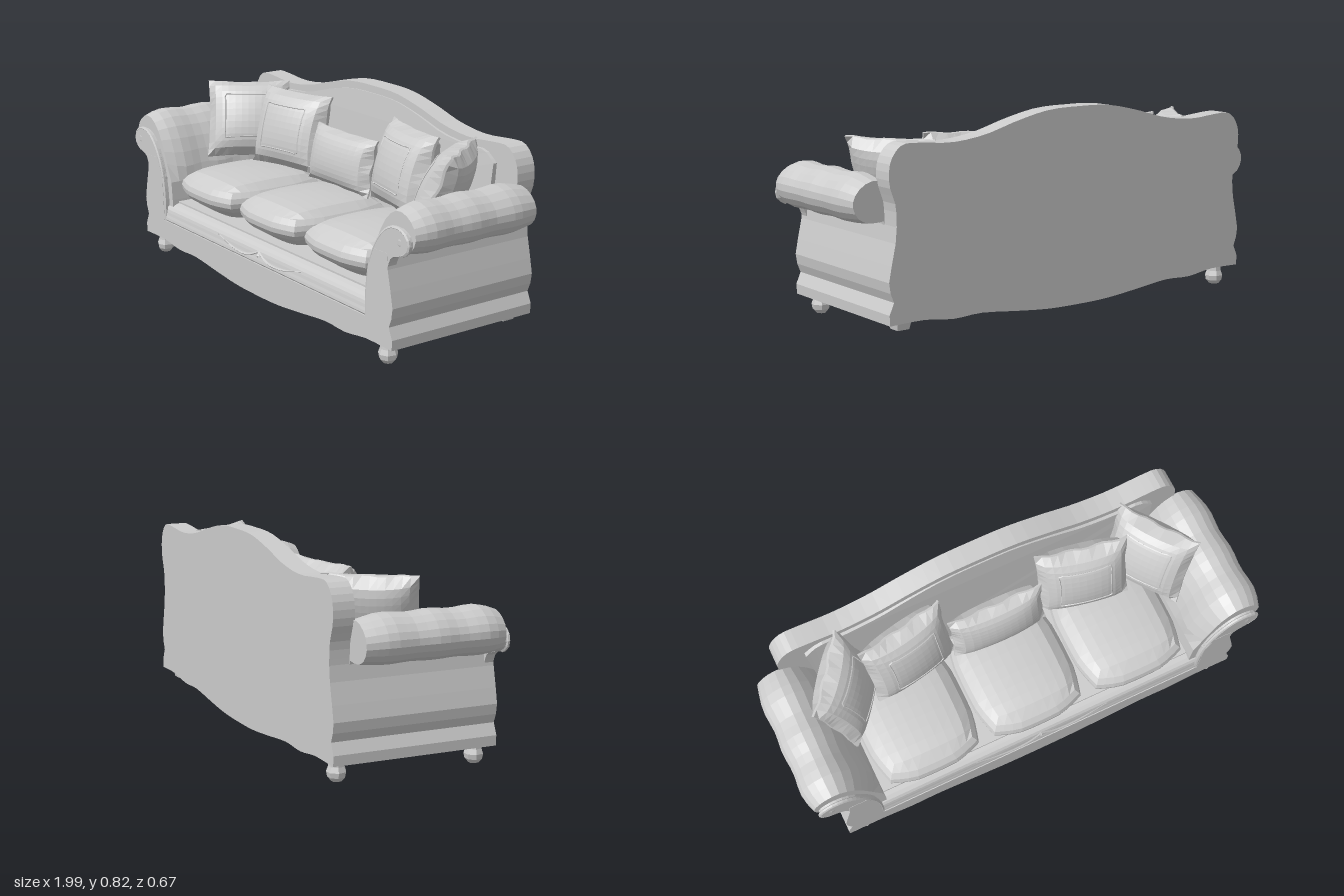
import * as THREE from 'three';

const mat = new THREE.MeshStandardMaterial({ color: 0xcccccc, flatShading: true, side: THREE.DoubleSide });

function add(parent, name, geometry, x = 0, y = 0, z = 0) {
  const mesh = new THREE.Mesh(geometry, mat);
  mesh.name = name;
  mesh.position.set(x, y, z);
  parent.add(mesh);
  return mesh;
}

const vecs = (pts) => pts.map(([x, y]) => new THREE.Vector2(x, y));
const smooth = (pts, n) => new THREE.SplineCurve(vecs(pts)).getPoints(n);
// mirrors a right-hand half line (edge to centre) into a full line
const mirrored = (half) => [...half, ...half.slice(0, -1).reverse().map(([x, y]) => [-x, y])];

function extrude(points, z0, z1, steps = 1) {
  const g = new THREE.ExtrudeGeometry(new THREE.Shape(points), { depth: z1 - z0, steps, bevelEnabled: false });
  return g.translate(0, 0, z0);
}

function moveVertices(g, rule) {
  const p = g.attributes.position, v = new THREE.Vector3();
  for (let i = 0; i < p.count; i++) {
    v.fromBufferAttribute(p, i);
    rule(v);
    p.setXYZ(i, v.x, v.y, v.z);
  }
  g.computeVertexNormals();
  return g;
}

// scatter pillow: a box in -1..1 is puffed in the middle, with a thin rippled rim and pointed corners
function pillowRule(w, h, d) {
  return (p) => {
    const { x: u, y: v } = p;
    const fall = (s) => Math.max(0, 1 - (s / 0.94) ** 2);
    const puff = 0.06 + 0.94 * Math.pow(fall(u) * fall(v), 0.34);
    const rim = Math.max(Math.abs(u), Math.abs(v)) > 0.95 ? 0.006 * Math.sin(9 * u + 7 * v) : 0;
    p.x = u * w / 2 * (1 - 0.05 * (1 - v * v));
    p.y = v * h / 2 * (1 - 0.05 * (1 - u * u));
    p.z = p.z * d / 2 * puff + rim;
  };
}

// seat cushion: crowned faces, rounded plan corners, fullest just above mid height
function seatRule(w, h, d) {
  return (p) => {
    const { x: u, y: v, z: t } = p;
    const belly = 1 - 0.14 * Math.pow(Math.abs(t - 0.15), 2.2);
    const corner = 1 - 0.16 * Math.max(0, Math.abs(u) + Math.abs(v) - 1.45);
    const bow = (s) => 1 + 0.06 * (1 - s * s);
    p.x = u * w / 2 * belly * corner * bow(v);
    p.y = v * h / 2 * belly * corner * bow(u);
    p.z = t * d / 2 * (0.55 + 0.45 * Math.pow((1 - u * u) * (1 - v * v), 0.4));
  };
}

export function createModel() {
  const sofa = new THREE.Group();
  sofa.name = 'sofa';

  // Frame: scalloped lower edge, gently waved sides, open seat well
  const hem = smooth(mirrored([[0.88, 0.08], [0.73, 0.082], [0.6, 0.066], [0.47, 0.07], [0.3, 0.052], [0.15, 0.038], [0, 0.035]]), 36);
  const side = [[0.88, 0.08], [0.882, 0.12], [0.862, 0.165], [0.876, 0.2], [0.882, 0.24], [0.87, 0.3], [0.852, 0.38], [0.846, 0.44]];
  const left = side.slice(1).map(([x, y]) => [-x, y]);
  const right = side.slice(1).reverse();
  add(sofa, 'frame', extrude([...hem, ...vecs([...left, [-0.77, 0.44], [-0.735, 0.36], [-0.725, 0.168],
    [0.725, 0.168], [0.735, 0.36], [0.77, 0.44], ...right])], -0.335, 0.335));

  // Camel-shaped back panel reaching down to the frame
  const crestLine = smooth(mirrored([[0.846, 0.44], [0.85, 0.52], [0.875, 0.6], [0.868, 0.68], [0.82, 0.735], [0.74, 0.738],
    [0.6, 0.728], [0.45, 0.745], [0.3, 0.785], [0.15, 0.815], [0, 0.82]]), 56);
  add(sofa, 'backPanel', extrude([...vecs([[-0.77, 0.44], [-0.735, 0.36], [-0.725, 0.168],
    [0.725, 0.168], [0.735, 0.36], [0.77, 0.44]]), ...crestLine], -0.335, -0.25));

  // Upholstered inner back, thicker towards the seat
  const innerTop = smooth(mirrored([[0.76, 0.66], [0.7, 0.7], [0.6, 0.7], [0.45, 0.715], [0.3, 0.755], [0.15, 0.785], [0, 0.79]]), 30);
  add(sofa, 'innerBack', moveVertices(extrude([...vecs([[-0.72, 0.2], [0.72, 0.2]]), ...innerTop], -0.26, -0.2),
    (v) => { if (v.z > -0.21) v.z = -0.21 - 0.035 * Math.max(0, (v.y - 0.4) / 0.39); }));

  // Seat deck and rounded front rail
  add(sofa, 'seatDeck', new THREE.BoxGeometry(1.44, 0.085, 0.52), 0, 0.21, 0.02);
  const rail = smooth([[-0.27, 0.166], [-0.328, 0.167], [-0.328, 0.195], [-0.315, 0.23], [-0.265, 0.25]], 12);
  add(sofa, 'frontRail', extrude(rail, -0.73, 0.73).rotateY(Math.PI / 2));

  // Draped swag folds in the middle of the rail
  for (const s of [-1, 1]) {
    const path = new THREE.CatmullRomCurve3([[0, 0.215, 0.318], [0.07, 0.188, 0.324], [0.16, 0.186, 0.324], [0.3, 0.215, 0.316]]
      .map(([x, y, z]) => new THREE.Vector3(s * x, y, z)));
    add(sofa, 'railSwag', new THREE.TubeGeometry(path, 12, 0.009, 5));
  }
  add(sofa, 'railKnot', new THREE.OctahedronGeometry(0.03).scale(1, 1, 0.6), 0, 0.2, 0.315);

  // Arms: padded roll plus scrolled front panel and moulding
  const rollLine = smooth([[0.69, 0.2], [0.7, 0.34], [0.735, 0.46], [0.79, 0.56], [0.86, 0.615], [0.93, 0.608], [0.98, 0.565],
    [0.992, 0.515], [0.965, 0.465], [0.91, 0.442], [0.845, 0.445]], 20);
  const panelLine = smooth([[0.722, 0.16], [0.724, 0.28], [0.745, 0.39], [0.79, 0.48], [0.85, 0.535], [0.91, 0.543], [0.955, 0.517],
    [0.957, 0.475], [0.92, 0.448], [0.87, 0.43], [0.85, 0.39]], 24);
  const armRoll = moveVertices(extrude([...rollLine, ...vecs([[0.8, 0.2]])], -0.255, 0.31, 14), (v) => {
    if (v.y < 0.38) return;
    const endRound = Math.max(0, (v.z - 0.23) / 0.08) ** 2 * 0.13 + Math.max(0, (-0.2 - v.z) / 0.055) * 0.12;
    const f = 1.015 + 0.03 * Math.cos((v.z - 0.22) * 35) - endRound;
    v.x = Math.min(1, 0.88 + (v.x - 0.88) * f);
    v.y = 0.5 + (v.y - 0.5) * f;
  });
  for (const s of [-1, 1]) {
    const arm = new THREE.Group();
    arm.name = s > 0 ? 'leftArm' : 'rightArm';
    arm.scale.x = s;
    sofa.add(arm);
    add(arm, 'armRoll', armRoll);
    add(arm, 'armFrontPanel', extrude([...panelLine, ...vecs([[0.86, 0.16]])], 0.295, 0.334));
    const trim = new THREE.CatmullRomCurve3(panelLine.slice(0, 20).map((p) => new THREE.Vector3(p.x, p.y, 0.327)));
    add(arm, 'armMoulding', new THREE.TubeGeometry(trim, 30, 0.008, 6));
    add(arm, 'scrollButton', new THREE.SphereGeometry(0.026, 8, 5).scale(1, 1, 0.35), 0.915, 0.497, 0.327);
  }

  // Three plump seat cushions
  for (const x of [-0.46, 0, 0.46]) {
    const g = moveVertices(new THREE.BoxGeometry(2, 2, 2, 10, 10, 5), seatRule(0.428, 0.5, 0.185));
    add(sofa, 'seatCushion', g.rotateX(-Math.PI / 2), x, 0.33, 0.056);
  }

  // Scatter pillows in a fan: [name, x, y, z, width, height, depth, lean, yaw, welted face]
  const pillows = [['lumbarPillow', 0, 0.533, -0.095, 0.41, 0.235, 0.14, -0.2, 0, false]];
  for (const s of [-1, 1]) {
    pillows.push(['squarePillow', s * 0.385, 0.58, -0.11, 0.38, 0.335, 0.17, -0.28, -s * 0.2, true]);
    pillows.push(['cornerPillow', s * 0.67, 0.578, -0.075, 0.36, 0.34, 0.17, -0.42, -s * 0.95, true]);
  }
  for (const [name, x, y, z, w, h, d, lean, yaw, welted] of pillows) {
    const pillow = new THREE.Group();
    pillow.name = name;
    pillow.position.set(x, y, z);
    pillow.rotation.set(lean, yaw, 0, 'YXZ');
    sofa.add(pillow);
    const rule = pillowRule(w, h, d);
    add(pillow, 'pillowBody', moveVertices(new THREE.BoxGeometry(2, 2, 2, 12, 12, 2), rule));
    if (!welted) continue;
    // square welt following the front face
    const loop = [];
    const corners = [[-1, -1], [1, -1], [1, 1], [-1, 1]];
    corners.forEach(([a, b], i) => {
      const [c, e] = corners[(i + 1) % 4];
      for (let k = 0; k < 6; k++) {
        const p = new THREE.Vector3(0.58 * (a + (c - a) * k / 6), 0.58 * (b + (e - b) * k / 6), 1);
        rule(p);
        loop.push(p);
      }
    });
    add(pillow, 'pillowWelt', new THREE.TubeGeometry(new THREE.CatmullRomCurve3(loop, true), 48, 0.003, 4, true));
  }

  // Bun feet; the left rear one is only a short square stub
  const bun = new THREE.LatheGeometry(vecs([[0, 0], [0.02, 0.002], [0.034, 0.018], [0.038, 0.038], [0.031, 0.058], [0.027, 0.09]]), 7);
  for (const [x, z] of [[-0.8, 0.288], [0.8, 0.288], [-0.8, -0.283]]) add(sofa, 'foot', bun, x, 0, z);
  add(sofa, 'footStub', new THREE.CylinderGeometry(0.045, 0.036, 0.035, 4).rotateY(Math.PI / 4), 0.8, 0.065, -0.275);

  return sofa;
}
